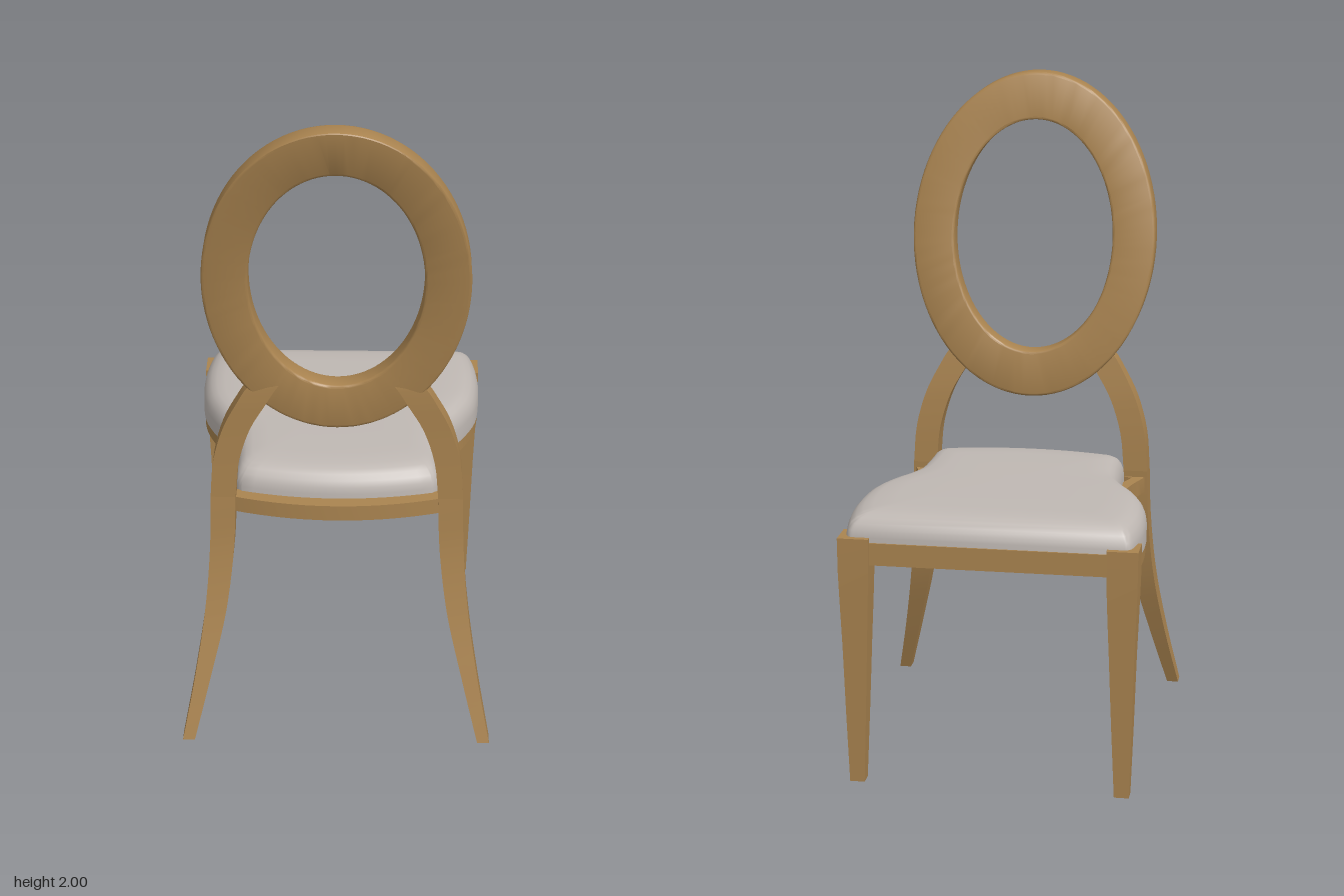
import * as THREE from 'three';
import { toCreasedNormals } from 'three/addons/utils/BufferGeometryUtils.js';

const wood = new THREE.MeshStandardMaterial({ color: 0xaa8450 });
wood.name = 'wood';
const fabric = new THREE.MeshStandardMaterial({ color: 0xbfb8b3 });
fabric.name = 'seat fabric';

function part(name, geometry, material, crease = 0.6) {
  const mesh = new THREE.Mesh(toCreasedNormals(geometry, crease), material);
  mesh.name = name;
  return mesh;
}

// Skin over rows of equal closed loops of [x, y, z]
function skin(rows) {
  const n = rows[0].length, idx = [];
  for (let i = 0; i < rows.length - 1; i++) {
    for (let j = 0; j < n; j++) {
      const a = i * n + j, b = i * n + (j + 1) % n;
      idx.push(a, b, b + n, a, b + n, a + n);
    }
  }
  const g = new THREE.BufferGeometry();
  g.setAttribute('position', new THREE.Float32BufferAttribute(rows.flat(2), 3));
  g.setIndex(idx);
  return g;
}

// Square-sectioned post through [x, y, z, halfWidth, halfDepth] sections, capped at both ends
function post(sections, side, steps) {
  const centre = new THREE.CatmullRomCurve3(sections.map(s => new THREE.Vector3(s[0], s[1], s[2])));
  const size = new THREE.CatmullRomCurve3(sections.map(s => new THREE.Vector3(s[3], s[4], 0)));
  const row = (t, k) => {
    const c = centre.getPoint(t), h = size.getPoint(t);
    return [[1, 1], [1, -1], [-1, -1], [-1, 1]].map(([a, b]) =>
      [side * c.x + k * a * h.x, c.y, c.z + k * b * h.y]);
  };
  const rows = [row(0, 0)];
  for (let i = 0; i <= steps; i++) rows.push(row(i / steps, 1));
  rows.push(row(1, 0));
  return skin(rows);
}

// Mirrored plan outline from [halfWidth, z] points, with a bowed back edge (y of the result is -z)
function outline(side, backZ) {
  const right = new THREE.SplineCurve(side.map(([x, z]) => new THREE.Vector2(x, -z))).getPoints(40);
  const [bx, bz] = side[side.length - 1];
  const back = [];
  for (let i = 1; i < 16; i++) {
    const u = 1 - i / 8;
    back.push(new THREE.Vector2(bx * u, -(bz + (backZ - bz) * (1 - u * u))));
  }
  const left = right.map(p => new THREE.Vector2(-p.x, p.y)).reverse();
  return [...right, ...back, ...left].reverse();
}

const slab = (shape, y, depth) =>
  new THREE.ExtrudeGeometry(shape, { depth, bevelEnabled: false }).rotateX(-Math.PI / 2).translate(0, y, 0);

const FRAME = [[0.425, -0.512], [0.435, -0.35], [0.424, -0.2], [0.39, -0.1], [0.348, -0.02],
  [0.326, 0.07], [0.324, 0.14], [0.338, 0.21], [0.372, 0.31]];
const CUSHION = [[0.395, -0.507], [0.42, -0.485], [0.437, -0.35], [0.427, -0.2], [0.392, -0.1],
  [0.348, -0.02], [0.318, 0.06], [0.308, 0.18], [0.304, 0.27], [0.285, 0.3]];
// Cushion layers as [scale of outline, height]
const PADDING = [[0, 0.72], [1, 0.72], [1, 0.765], [0.992, 0.784], [0.972, 0.803], [0.94, 0.818],
  [0.9, 0.827], [0.84, 0.833], [0.7, 0.8355], [0.4, 0.837], [0, 0.837]];

function seat() {
  const group = new THREE.Group();
  group.name = 'seat';

  // Rails around the seat; their lower edge rises slightly towards the back
  const inner = FRAME.map(([x, z]) => [x - 0.045, z * 0.91]);
  const rails = new THREE.Shape(outline(FRAME, 0.385));
  rails.holes.push(new THREE.Path(outline(inner, 0.335)));
  const railGeometry = slab(rails, 0.683, 0.067);
  const p = railGeometry.attributes.position;
  for (let i = 0; i < p.count; i++) {
    if (p.getY(i) < 0.7) p.setY(i, 0.683 + 0.018 * THREE.MathUtils.smoothstep(p.getZ(i), -0.1, 0.3));
  }
  group.add(part('seatFrame', railGeometry, wood));

  // Recessed board beneath
  group.add(part('seatBoard', slab(new THREE.Shape(outline(inner, 0.335)), 0.71, 0.015), wood));

  // Padded cushion, softly domed
  const edge = outline(CUSHION, 0.34), midZ = -0.08;
  group.add(part('cushion', skin(PADDING.map(([s, y]) =>
    edge.map(e => [e.x * s, y, midZ + (-e.y - midZ) * s]))), fabric, 0.9));
  return group;
}

// Oval back ring with softened corners, leaning backwards and gently bent
function backRing() {
  const section = [], halfW = 0.066, halfD = 0.0345, r = 0.008;
  [[1, 1], [1, -1], [-1, -1], [-1, 1]].forEach(([su, sw], k) => {
    for (let i = 0; i <= 3; i++) {
      const a = (k + i / 3) * Math.PI / 2;
      section.push([su * (halfW - r) + r * Math.sin(a), sw * (halfD - r) + r * Math.cos(a)]);
    }
  });
  const rows = [];
  for (let i = 0; i <= 96; i++) {
    const a = (i % 96) / 96 * Math.PI * 2;
    rows.push(section.map(([u, w]) => {
      const x = (0.316 + u) * Math.cos(a);
      const t = 0.5 + (0.4285 + u * 1.083) * Math.sin(a);
      return [x, 1 + t, 0.324 + w + 0.04 * t + 0.127 * t * t + 0.1 * x * x];
    }));
  }
  return part('backRing', skin(rows), wood);
}

const FRONT_LEG = [[0.396, 0, -0.48, 0.022, 0.022], [0.395, 0.22, -0.48, 0.03, 0.03],
  [0.394, 0.44, -0.48, 0.037, 0.037], [0.394, 0.66, -0.48, 0.045, 0.045], [0.394, 0.765, -0.48, 0.046, 0.046]];
const BACK_LEG = [[0.448, 0, 0.502, 0.018, 0.023], [0.403, 0.2, 0.438, 0.024, 0.032],
  [0.364, 0.4, 0.38, 0.032, 0.038], [0.343, 0.6, 0.343, 0.036, 0.039], [0.337, 0.77, 0.331, 0.037, 0.039]];
const BACK_POST = [[0.337, 0.77, 0.331, 0.037, 0.039], [0.326, 0.89, 0.332, 0.038, 0.037],
  [0.294, 1.0, 0.336, 0.04, 0.034], [0.252, 1.08, 0.342, 0.043, 0.03],
  [0.215, 1.14, 0.346, 0.043, 0.025], [0.18, 1.17, 0.347, 0.035, 0.02]];

export function createModel() {
  const model = new THREE.Group();
  model.name = 'ovalBackChair';
  const body = new THREE.Group();
  body.name = 'chair';
  body.position.x = -0.002;
  model.add(body);

  body.add(seat(), backRing());

  // Legs and the curved posts that carry the back
  for (const [label, side] of [['left', 1], ['right', -1]]) {
    body.add(part(label + 'FrontLeg', post(FRONT_LEG, side, 8), wood));
    body.add(part(label + 'BackLeg', post(BACK_LEG, side, 20), wood));
    body.add(part(label + 'BackPost', post(BACK_POST, side, 20), wood));
  }
  return model;
}
